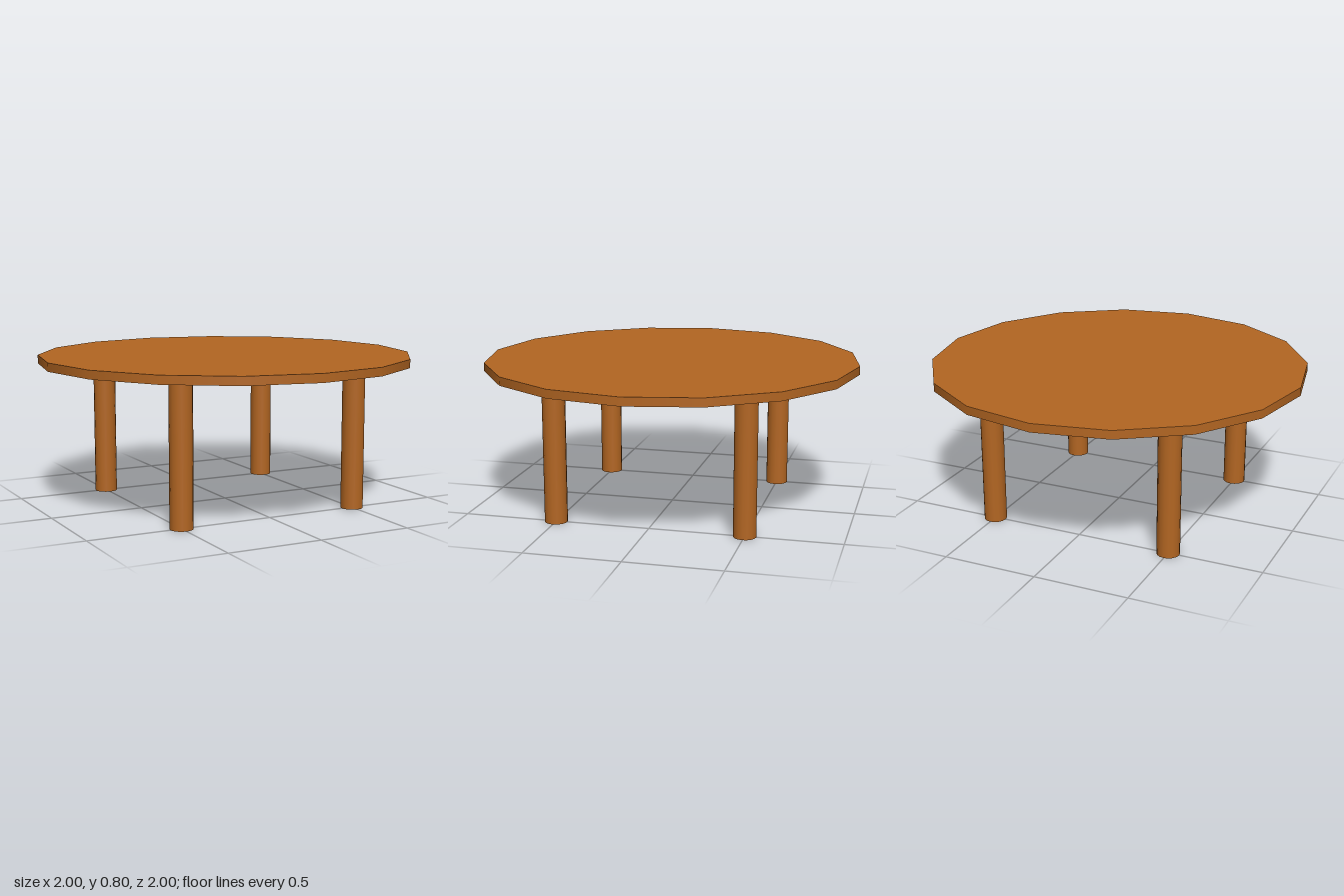
import * as THREE from 'three';

const TOP_Y = 0.8, TOP_THICKNESS = 0.045;
const LEG_RADIUS = 0.06, LEG_OFFSET = 0.5, SIDES = 16;

export function createModel() {
  const table = new THREE.Group();
  table.name = 'roundTable';
  const wood = new THREE.MeshStandardMaterial({ color: 0xb36622 });
  wood.name = 'warm brown wood';

  // Upright cylinder placed by its bottom height
  const addCylinder = (name, radius, height, x, bottom, z) => {
    const mesh = new THREE.Mesh(new THREE.CylinderGeometry(radius, radius, height, SIDES), wood);
    mesh.name = name;
    mesh.position.set(x, bottom + height / 2, z);
    table.add(mesh);
  };

  // Sixteen-sided table top
  const underside = TOP_Y - TOP_THICKNESS;
  addCylinder('tableTop', 1, TOP_THICKNESS, 0, underside, 0);

  // Four round legs
  for (const [side, x] of [['Left', LEG_OFFSET], ['Right', -LEG_OFFSET]]) {
    for (const [end, z] of [['front', LEG_OFFSET], ['back', -LEG_OFFSET]]) {
      addCylinder(`${end}${side}Leg`, LEG_RADIUS, underside, x, 0, z);
    }
  }
  return table;
}
